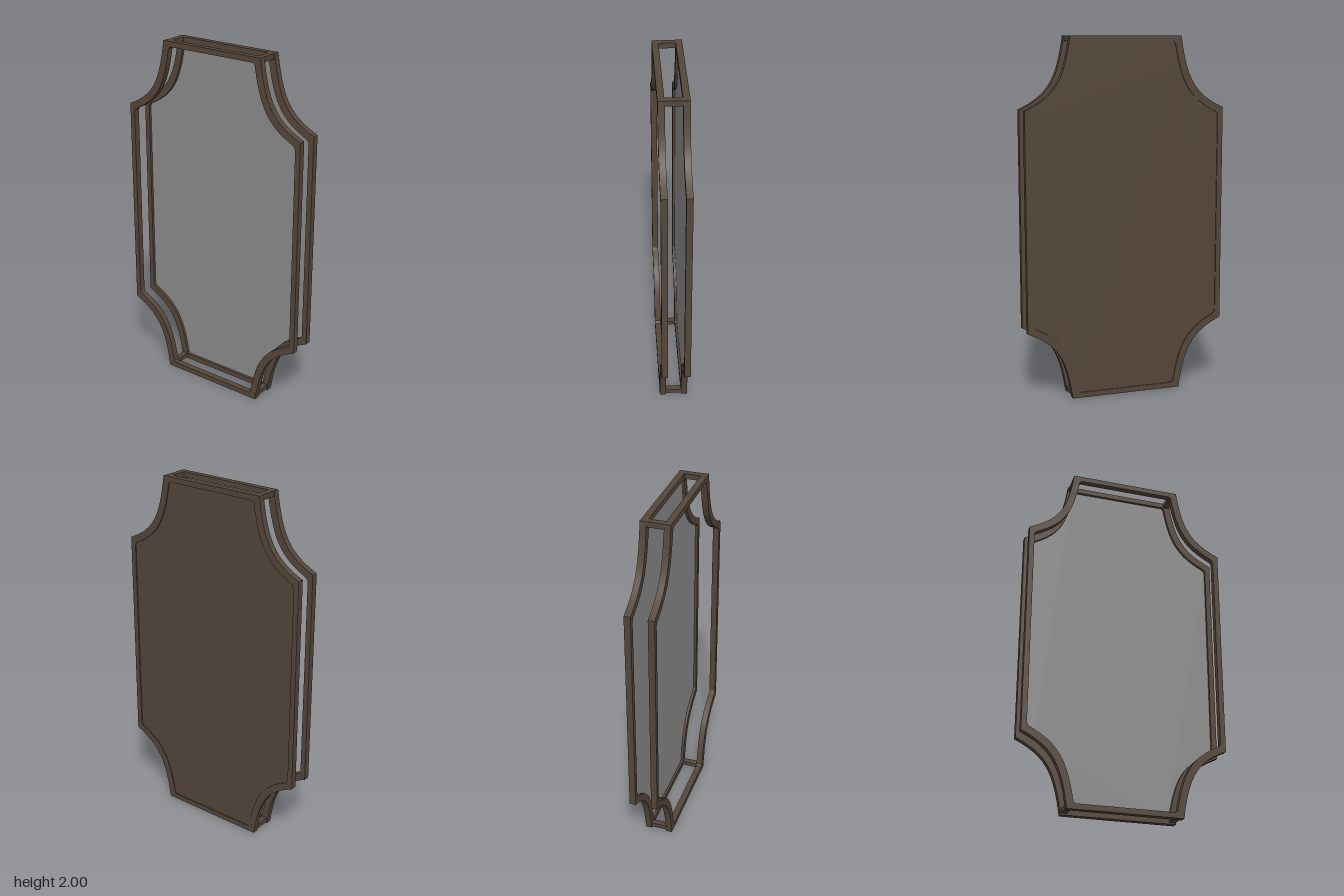
import * as THREE from 'three';

// Quarter outline (upper right): top corner, curve control, side corner
const OUTER = [[0.317, 1], [0.361, 0.7], [0.57, 0.606]];
const INNER = [[0.281, 0.97], [0.33, 0.675], [0.54, 0.576]];
const CENTRE = 1;

// Plaque outline with four scooped corners; bevel softens the inner corners
function outline(quarter, bevel = 0, Type = THREE.Shape) {
  const [a, c, b] = quarter.map(([x, y]) => new THREE.Vector2(x, y));
  const pull = 0.8;
  const curve = new THREE.CubicBezierCurve(a, a.clone().lerp(c, pull), b.clone().lerp(c, pull), b);
  const pts = curve.getPoints(20);
  if (bevel) {
    pts[0].set(a.x - bevel, a.y);
    pts.splice(1, 0, new THREE.Vector2(a.x + 0.001, a.y - bevel));
    pts[pts.length - 1].set(b.x - bevel, b.y + bevel * 0.45);
    pts.push(new THREE.Vector2(b.x, b.y - bevel));
  }
  // Counter-clockwise order, so that walls of solids and holes face outwards
  const flip = (sx, sy) => {
    const q = pts.map((p) => new THREE.Vector2(p.x * sx, p.y * sy + CENTRE));
    return sx * sy > 0 ? q.reverse() : q;
  };
  return new Type([...flip(1, 1), ...flip(-1, 1), ...flip(-1, -1), ...flip(1, -1)]);
}

function extrude(shape, z, depth) {
  const geometry = new THREE.ExtrudeGeometry(shape, { depth, bevelEnabled: false });
  return geometry.translate(0, 0, z);
}

export function createModel() {
  const group = new THREE.Group();
  const wood = new THREE.MeshStandardMaterial({ color: 0x54463a });
  wood.name = 'dark brown wood';
  const glass = new THREE.MeshStandardMaterial({ color: 0x8b8b8b });
  glass.name = 'grey mirror';

  const add = (name, geometry, material) => {
    const mesh = new THREE.Mesh(geometry, material);
    mesh.name = name;
    group.add(mesh);
    return mesh;
  };

  // Two matching hollow frames
  const ring = outline(OUTER);
  ring.holes.push(outline(INNER, 0.01, THREE.Path));
  add('frontFrame', extrude(ring, 0.045, 0.035), wood);
  add('backFrame', extrude(ring, -0.08, 0.035), wood);

  // Mirror and backing board set into the back frame
  const panel = outline(INNER, 0.01);
  add('mirror', extrude(panel, -0.066, 0.006), glass);
  add('backingBoard', extrude(panel, -0.074, 0.008), wood);

  // Spacers joining the frames at the top and bottom corners
  for (const x of [-1, 1]) {
    for (const [y, h] of [[0.0215, 0.025], [1.985, 0.03]]) {
      const spacer = add('spacer', new THREE.BoxGeometry(0.034, h, 0.09), wood);
      spacer.position.set(x * 0.298, y, 0);
    }
  }
  return group;
}
